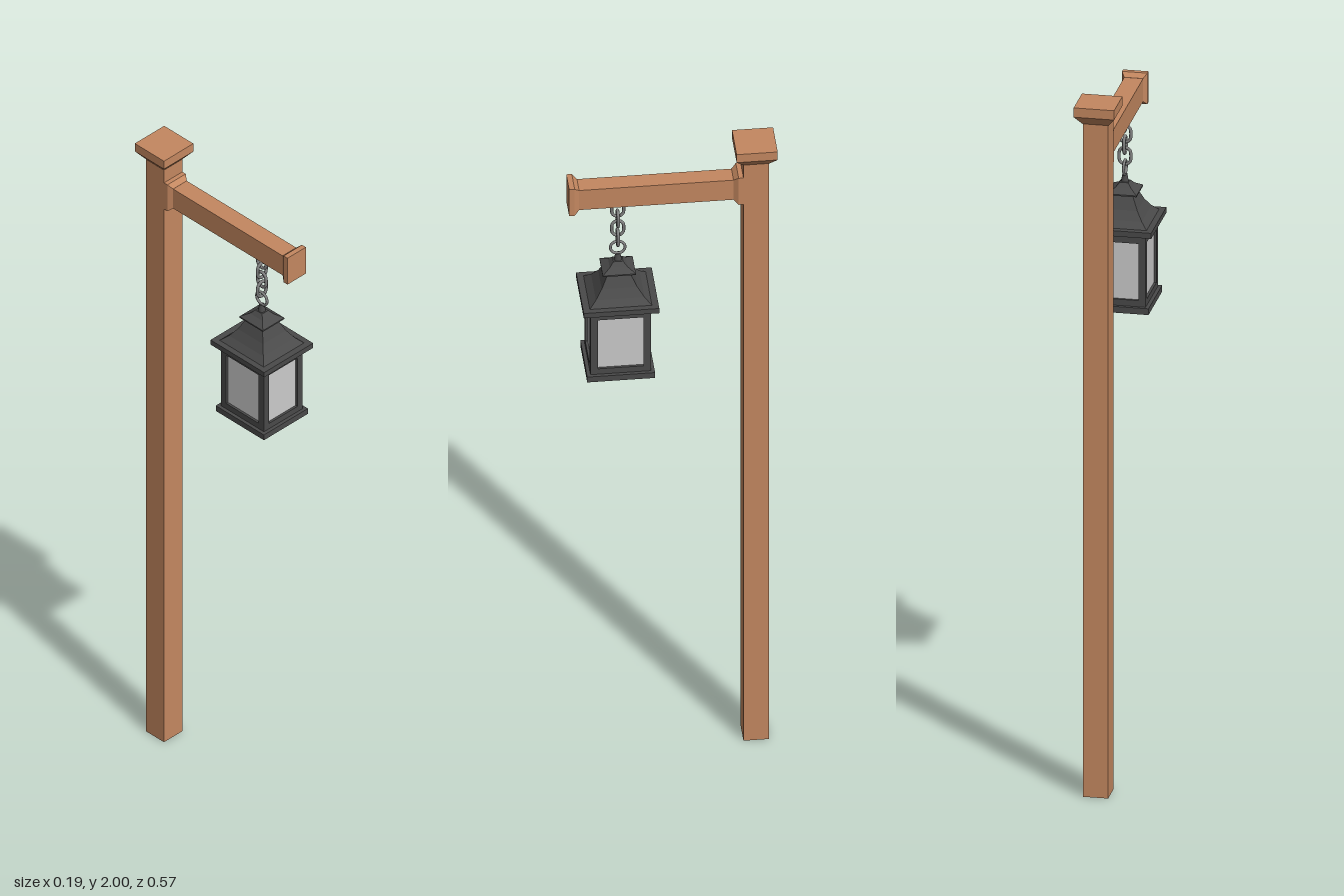
import * as THREE from 'three';

const wood = new THREE.MeshStandardMaterial({ color: 0xc48860 });
const iron = new THREE.MeshStandardMaterial({ color: 0x4a4a4a });
const steel = new THREE.MeshStandardMaterial({ color: 0x808080 });
const glass = new THREE.MeshStandardMaterial({ color: 0xcccccc });

function add(parent, name, geometry, material, x = 0, y = 0, z = 0) {
  const mesh = new THREE.Mesh(geometry, material);
  mesh.name = name;
  mesh.position.set(x, y, z);
  parent.add(mesh);
  return mesh;
}

// Four-sided flat-faced solid from [halfWidth, y] pairs, bottom to top
function squareStack(profile, depthRatio = 1) {
  const points = profile.map(([r, y]) => new THREE.Vector2(r * Math.SQRT2, y));
  const geometry = new THREE.LatheGeometry(points, 4).toNonIndexed();
  geometry.rotateY(Math.PI / 4).scale(1, 1, depthRatio);
  geometry.computeVertexNormals();
  return geometry;
}

// Oval chain link standing in the xy plane
function linkGeometry(halfWidth, halfHeight, tube) {
  const points = [];
  const straight = halfHeight - halfWidth;
  for (let i = 0; i < 16; i++) {
    const a = ((i + 0.5) / 16) * Math.PI * 2;
    points.push(new THREE.Vector3(
      Math.cos(a) * halfWidth, Math.sin(a) * halfWidth + Math.sign(Math.sin(a)) * straight, 0));
  }
  return new THREE.TubeGeometry(new THREE.CatmullRomCurve3(points, true), 32, tube, 8, true);
}

function createPost() {
  const post = new THREE.Group();
  post.name = 'post';
  post.position.set(-0.003, 0, -0.228);
  add(post, 'postShaft', new THREE.BoxGeometry(0.07, 1.96, 0.07), wood, 0, 0.98, 0);
  add(post, 'postCap', squareStack([
    [0, 1.948], [0.036, 1.948], [0.056, 1.973], [0.056, 2], [0, 2]]), wood);
  return post;
}

function createArm() {
  const arm = new THREE.Group();
  arm.name = 'arm';
  arm.position.set(-0.003, 1.859, 0);
  add(arm, 'armBeam', new THREE.BoxGeometry(0.052, 0.066, 0.465), wood, 0, 0, 0.04);
  // Flared plates at both ends, mirrored along the beam
  const flare = squareStack([
    [0, 0], [0.026, 0], [0.035, 0.013], [0.035, 0.028], [0, 0.028]], 1.28);
  const end = add(arm, 'armEndPlate', flare, wood, 0, 0, 0.254);
  end.rotation.x = Math.PI / 2;
  const root = add(arm, 'armRootPlate', flare, wood, 0, 0, -0.167);
  root.rotation.x = -Math.PI / 2;
  return arm;
}

function createChain() {
  const chain = new THREE.Group();
  chain.name = 'chain';
  const geometry = linkGeometry(0.016, 0.024, 0.0045);
  for (let i = 0; i < 4; i++) {
    const link = add(chain, 'chainLink', geometry, steel, 0, 1.803 - i * 0.032, 0);
    link.rotation.y = i % 2 ? 0 : Math.PI / 2;
  }
  return chain;
}

function createLantern() {
  const lantern = new THREE.Group();
  lantern.name = 'lantern';
  const ratio = 1.1; // slightly deeper than wide

  add(lantern, 'base', new THREE.BoxGeometry(0.168, 0.018, 0.185), iron, 0, 1.295, 0);
  add(lantern, 'eave', new THREE.BoxGeometry(0.187, 0.016, 0.206), iron, 0, 1.519, 0);

  // Window frame: corner bars with rails above and below each pane
  const hx = 0.074, hz = 0.0825, bar = 0.02, low = 1.3, high = 1.513;
  for (const sx of [-1, 1]) {
    for (const sz of [-1, 1]) {
      add(lantern, 'cornerBar', new THREE.BoxGeometry(bar, high - low, bar), iron,
        sx * (hx - bar / 2), (low + high) / 2, sz * (hz - bar / 2));
    }
  }
  for (const [bottom, top] of [[low, 1.322], [1.486, high]]) {
    const h = top - bottom, y = (top + bottom) / 2;
    for (const s of [-1, 1]) {
      add(lantern, 'rail', new THREE.BoxGeometry(2 * (hx - bar), h, bar), iron,
        0, y, s * (hz - bar / 2));
      add(lantern, 'rail', new THREE.BoxGeometry(bar, h, 2 * (hz - bar)), iron,
        s * (hx - bar / 2), y, 0);
    }
  }

  // Panes set back into the frame
  for (const s of [-1, 1]) {
    add(lantern, 'pane', new THREE.BoxGeometry(0.11, 0.17, 0.006), glass, 0, 1.404, s * (hz - 0.01));
    add(lantern, 'pane', new THREE.BoxGeometry(0.006, 0.17, 0.127), glass, s * (hx - 0.01), 1.404, 0);
  }

  // Concave roof with a small vent cap above it
  add(lantern, 'roof', squareStack([
    [0, 1.525], [0.079, 1.525], [0.06, 1.544], [0.044, 1.568], [0.024, 1.612], [0, 1.612]], ratio), iron);
  add(lantern, 'ventCap', squareStack([
    [0, 1.606], [0.041, 1.606], [0.041, 1.61], [0.022, 1.622], [0.012, 1.634], [0, 1.634]], ratio), iron);
  add(lantern, 'finial', new THREE.CylinderGeometry(0.007, 0.011, 0.024, 12), iron, 0, 1.643, 0);

  // Hanging ring
  const ring = add(lantern, 'hangingRing', new THREE.TorusGeometry(0.02, 0.004, 8, 28), steel, 0, 1.674, 0);
  ring.rotation.y = Math.PI / 2;
  return lantern;
}

export function createModel() {
  const model = new THREE.Group();
  model.name = 'lanternPost';
  const hanging = new THREE.Group();
  hanging.name = 'hangingLantern';
  hanging.position.set(-0.001, 0, 0.146);
  hanging.add(createChain(), createLantern());
  model.add(createPost(), createArm(), hanging);
  return model;
}
